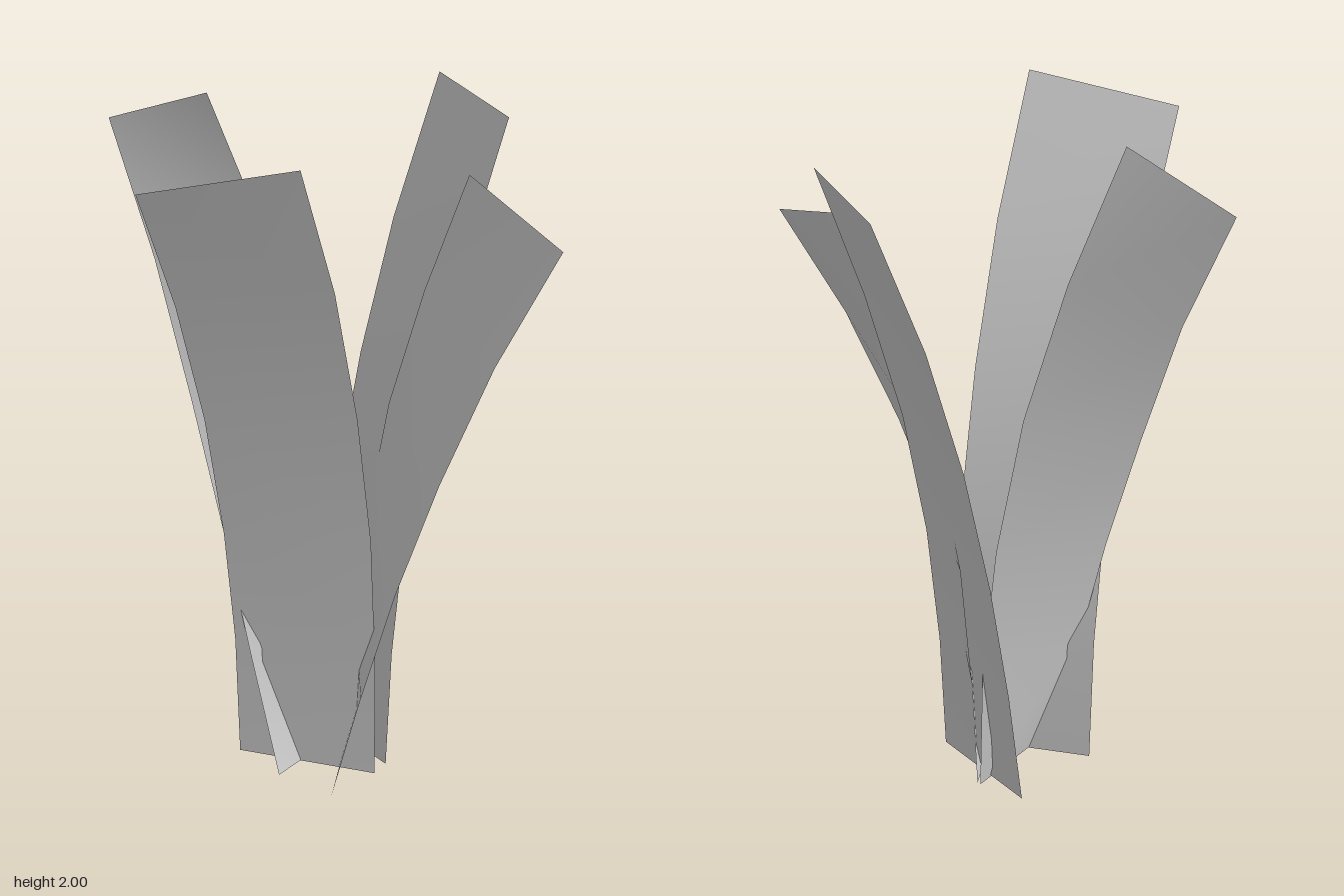
import * as THREE from 'three';

// Each blade is a strip between two curved edges, as [x, y, z] from base to tip.
const BLADES = {
  frontRightBlade: [
    [[-0.172, 0.01, -0.08], [-0.182, 0.42, -0.075], [-0.22, 0.8, -0.05], [-0.285, 1.2, -0.01], [-0.375, 1.57, 0.04], [-0.49, 1.92, 0.1]],
    [[0.133, 0, 0.177], [0.125, 0.41, 0.178], [0.1, 0.82, 0.187], [0.04, 1.23, 0.212], [-0.05, 1.63, 0.255], [-0.17, 2, 0.31]],
  ],
  backRightBlade: [
    [[-0.12, 0.01, 0.07], [-0.16, 0.4, -0.025], [-0.2, 0.78, -0.1], [-0.24, 1.15, -0.195], [-0.285, 1.53, -0.3], [-0.34, 1.88, -0.43]],
    [[0.16, 0, -0.038], [0.15, 0.41, -0.042], [0.112, 0.82, -0.057], [0.045, 1.23, -0.085], [-0.05, 1.63, -0.14], [-0.17, 2, -0.2]],
  ],
  leftBlade: [
    [[0.175, 0.01, 0.165], [0.187, 0.4, 0.162], [0.218, 0.79, 0.16], [0.278, 1.18, 0.157], [0.37, 1.56, 0.152], [0.487, 1.94, 0.145]],
    [[0.085, 0.01, -0.155], [0.127, 0.4, -0.16], [0.182, 0.79, -0.165], [0.255, 1.18, -0.172], [0.352, 1.56, -0.18], [0.483, 1.94, -0.19]],
  ],
  frontLeftBlade: [
    [[-0.03, 0.01, 0.22], [0.04, 0.36, 0.255], [0.117, 0.71, 0.295], [0.215, 1.05, 0.335], [0.335, 1.39, 0.38], [0.48, 1.7, 0.43]],
    [[0.17, 0.01, -0.04], [0.18, 0.38, -0.035], [0.2, 0.76, -0.02], [0.243, 1.12, 0.013], [0.31, 1.47, 0.067], [0.39, 1.8, 0.13]],
  ],
};

// Joins the two edges row by row, sharing corners for smooth normals
function strip([a, b]) {
  const positions = [];
  const index = [];
  a.forEach((p, i) => {
    positions.push(...p, ...b[i]);
    if (i < a.length - 1) {
      const k = 2 * i;
      index.push(k, k + 1, k + 2, k + 1, k + 3, k + 2);
    }
  });
  const geometry = new THREE.BufferGeometry();
  geometry.setAttribute('position', new THREE.Float32BufferAttribute(positions, 3));
  geometry.setIndex(index);
  geometry.computeVertexNormals();
  return geometry;
}

export function createModel() {
  const group = new THREE.Group();
  group.name = 'grassTuft';
  const material = new THREE.MeshStandardMaterial({ color: 0xcccccc, side: THREE.DoubleSide });
  material.name = 'grey blade';
  for (const [name, edges] of Object.entries(BLADES)) {
    const blade = new THREE.Mesh(strip(edges), material);
    blade.name = name;
    group.add(blade);
  }
  return group;
}
